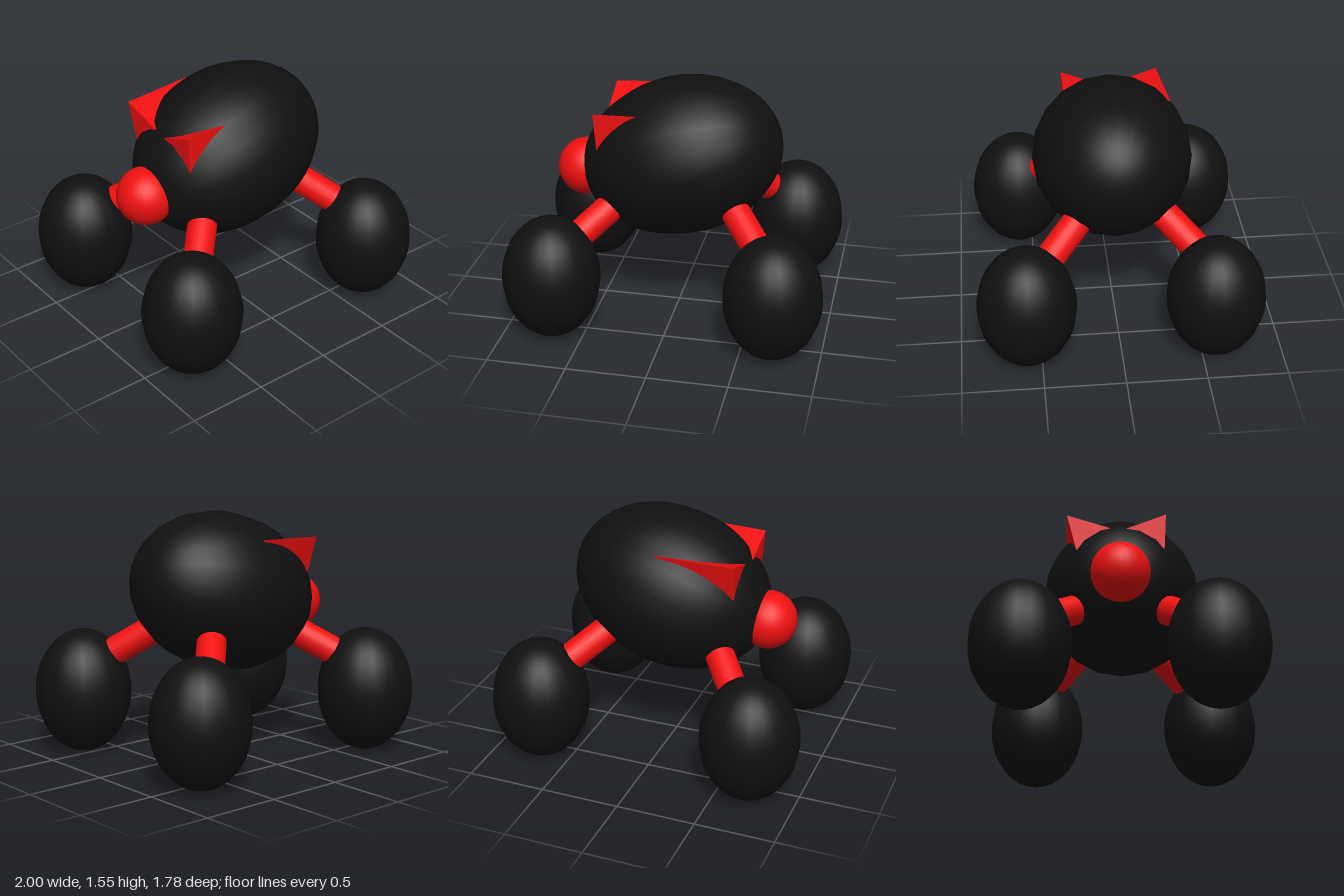
import * as THREE from 'three';

const black = new THREE.MeshStandardMaterial({ color: 0x101010 });
const red = new THREE.MeshStandardMaterial({ color: 0xf01010 });
const redFlat = new THREE.MeshStandardMaterial({ color: 0xf01010, flatShading: true });
const V = (p) => new THREE.Vector3(...p);

function add(group, name, geometry, material) {
  const mesh = new THREE.Mesh(geometry, material);
  mesh.name = name;
  group.add(mesh);
  return mesh;
}

// Cylinder along the line from a (at the body) to b (at the foot), extended into both
function leg(group, name, a, b) {
  const dir = V(b).sub(V(a));
  const start = V(a).addScaledVector(dir, -0.9);
  const end = V(b).addScaledVector(dir, 0.45);
  const mesh = add(group, name, new THREE.CylinderGeometry(0.092, 0.092, start.distanceTo(end), 20), red);
  mesh.position.copy(start).add(end).multiplyScalar(0.5);
  mesh.quaternion.setFromUnitVectors(new THREE.Vector3(0, 1, 0), dir.normalize());
}

// Four-cornered wedge: an outer tip and three edges running into the body
function ear(group, name, tip, ends) {
  const p = V(tip);
  const e = ends.map((q) => V(q).sub(p).multiplyScalar(1.25).add(p));
  // Keep the winding outward on either side
  const volume = e[0].clone().sub(p).dot(e[1].clone().sub(p).cross(e[2].clone().sub(p)));
  if (volume < 0) e.reverse();
  const [a, b, c] = e;
  const geometry = new THREE.BufferGeometry().setFromPoints([p, b, a, p, c, b, p, a, c, a, b, c]);
  geometry.computeVertexNormals();
  add(group, name, geometry, redFlat);
}

export function createModel() {
  const model = new THREE.Group();
  model.name = 'beetle';

  // Egg-shaped body, long axis along x and tilted down toward the head
  const bodyShape = new THREE.SphereGeometry(0.5, 20, 40).rotateZ(-Math.PI / 2);
  bodyShape.rotateX(Math.PI / 2).scale(0.647 / 0.5, 1, 1);
  const body = add(model, 'body', bodyShape, black);
  body.position.set(0.02, 1.04, 0);
  body.rotation.z = THREE.MathUtils.degToRad(17.7);

  // Head
  add(model, 'head', new THREE.SphereGeometry(0.183, 28, 20), red).position.set(-0.607, 0.912, 0.003);

  // Feet
  const footShape = new THREE.SphereGeometry(1, 20, 32).scale(0.306, 0.397, 0.306);
  for (const x of [-1, 1]) {
    for (const z of [-1, 1]) {
      const name = (z > 0 ? 'front' : 'back') + (x > 0 ? 'Left' : 'Right') + 'Foot';
      add(model, name, footShape, black).position.set(x * 0.695, 0.399, z * 0.582);
    }
  }

  // Legs
  leg(model, 'frontRightLeg', [-0.425, 0.73, 0.32], [-0.56, 0.62, 0.455]);
  leg(model, 'backRightLeg', [-0.45, 0.715, -0.35], [-0.565, 0.62, -0.485]);
  leg(model, 'frontLeftLeg', [0.455, 0.75, 0.31], [0.575, 0.645, 0.44]);
  leg(model, 'backLeftLeg', [0.42, 0.75, -0.355], [0.54, 0.65, -0.48]);

  // Ears
  ear(model, 'frontEar', [-0.485, 1.378, 0.285],
    [[-0.2, 1.387, 0.285], [-0.485, 1.3, 0.085], [-0.47, 1.16, 0.275]]);
  ear(model, 'backEar', [-0.485, 1.378, -0.335],
    [[-0.09, 1.392, -0.36], [-0.475, 1.31, -0.12], [-0.47, 1.126, -0.27]]);

  return model;
}
